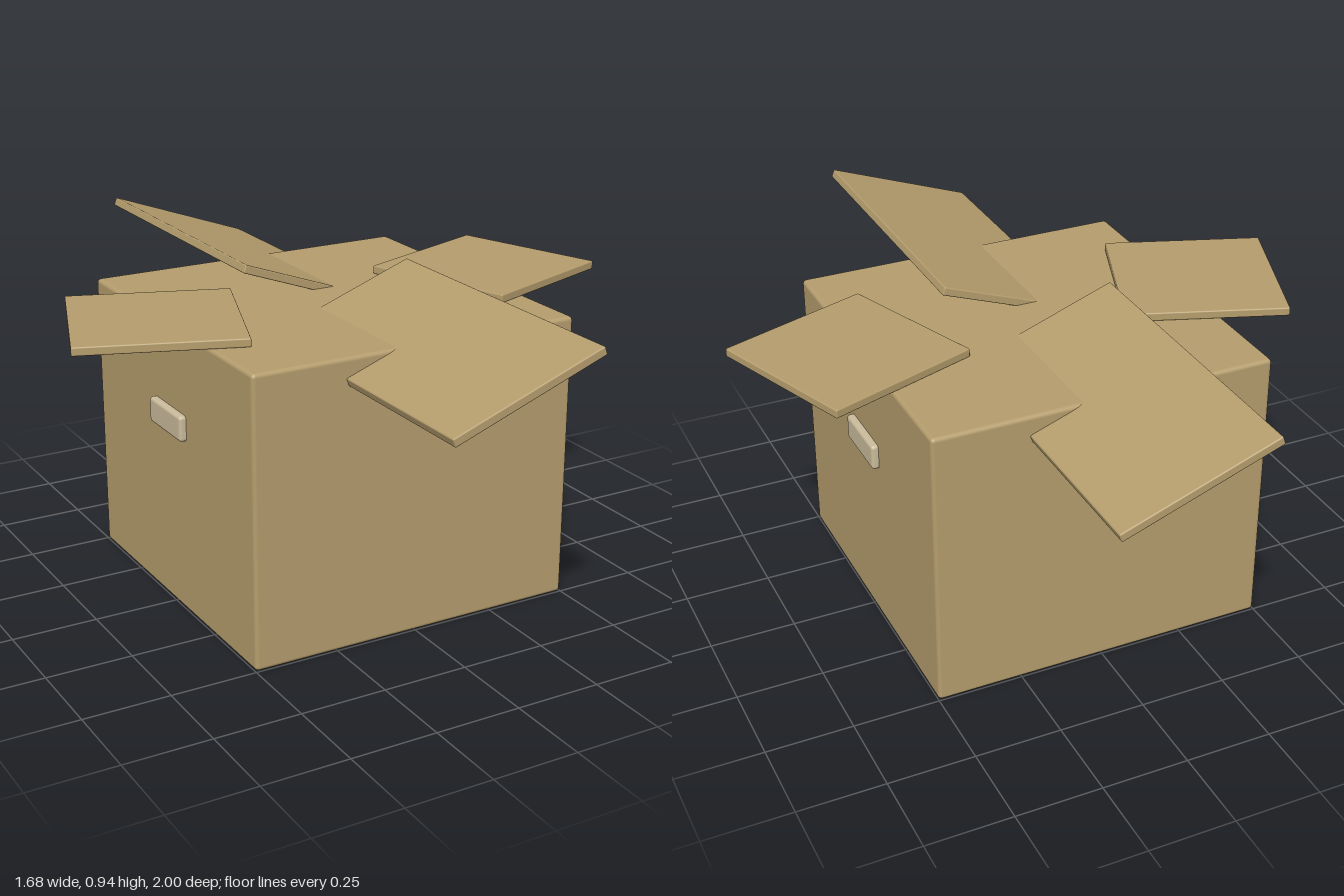
import * as THREE from 'three';
import { RoundedBoxGeometry } from 'three/addons/geometries/RoundedBoxGeometry.js';

export function createModel() {
  const model = new THREE.Group();
  model.name = 'openCardboardBox';

  const cardboard = new THREE.MeshStandardMaterial({ color: 0xb59d6d });
  cardboard.name = 'cardboard';
  const paleCard = new THREE.MeshStandardMaterial({ color: 0xcabb9b });
  paleCard.name = 'pale card';

  const tilt = THREE.MathUtils.degToRad(20);
  const thickness = 0.025;
  const flapY = 0.852;

  function addPart(name, size, radius, position, material) {
    const mesh = new THREE.Mesh(new RoundedBoxGeometry(...size, 2, radius), material);
    mesh.name = name;
    mesh.position.set(...position);
    model.add(mesh);
    return mesh;
  }

  // Closed body with slightly softened edges
  addPart('body', [1, 0.84, 1], 0.012, [0, 0.42, 0], cardboard);

  for (const side of [1, -1]) {
    // Long flaps, front and back, rolled in opposite directions
    const longFlap = addPart(side > 0 ? 'frontFlap' : 'backFlap',
      [0.47, thickness, 0.92], 0.004, [0, flapY, side * 0.54], cardboard);
    longFlap.rotation.z = side * tilt;

    // Square flaps lying flat, turned outward over the sides
    const sideFlap = addPart(side > 0 ? 'leftFlap' : 'rightFlap',
      [0.47, thickness, 0.47], 0.004, [side * 0.538, flapY, 0], cardboard);
    sideFlap.rotation.y = side * tilt;

    // Hand grips
    addPart(side > 0 ? 'leftHandle' : 'rightHandle',
      [0.04, 0.075, 0.2], 0.01, [side * 0.5, 0.562, 0], paleCard);
  }
  return model;
}
